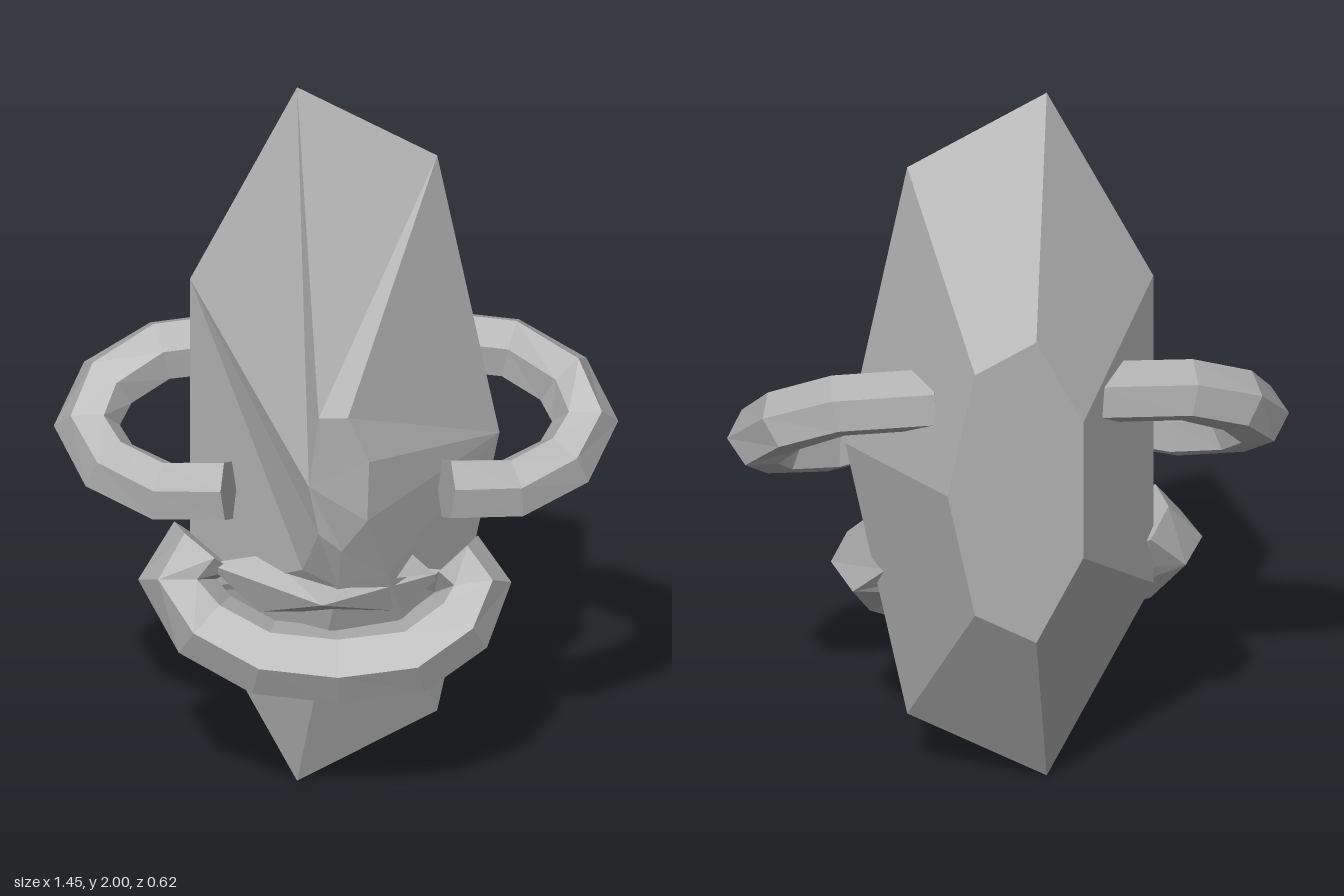
import * as THREE from 'three';

const stone = new THREE.MeshStandardMaterial({ color: 0xb0b0b0, flatShading: true });
stone.name = 'grey stone';

// Flat-shaded mesh from polygons, each fanned from its first corner
function facetMesh(name, polygons) {
  const pos = [];
  for (const p of polygons)
    for (let i = 1; i < p.length - 1; i++) pos.push(...p[0], ...p[i], ...p[i + 1]);
  const g = new THREE.BufferGeometry();
  g.setAttribute('position', new THREE.Float32BufferAttribute(pos, 3));
  g.computeVertexNormals();
  const mesh = new THREE.Mesh(g, stone);
  mesh.name = name;
  return mesh;
}

// Hexagonal bar swept along points that lie near a plane with the given normal
function hexBar(name, points, normal, radius) {
  const path = points.map(p => new THREE.Vector3(...p));
  const n = new THREE.Vector3(...normal).normalize();
  const rings = path.map((c, i) => {
    const before = path[Math.max(i - 1, 0)], after = path[Math.min(i + 1, path.length - 1)];
    const t = after.clone().sub(before).normalize();
    const u = n.clone().cross(t).normalize();
    const v = t.clone().cross(u);
    return Array.from({ length: 6 }, (_, j) => {
      const a = j * Math.PI / 3;
      return c.clone().addScaledVector(u, radius * Math.cos(a))
        .addScaledVector(v, radius * Math.sin(a)).toArray();
    });
  });
  const faces = [[...rings[0]].reverse(), rings[rings.length - 1]];
  for (let i = 0; i < rings.length - 1; i++)
    for (let j = 0; j < 6; j++) {
      const k = (j + 1) % 6;
      faces.push([rings[i][j], rings[i][k], rings[i + 1][k], rings[i + 1][j]]);
    }
  return facetMesh(name, faces);
}

// Seven-sided crystal head: rim, smaller back plate, and a front drawn out into a nose
function crystalHead() {
  const O = [[-0.1, 2, 0], [0.26, 1.8, 0], [0.42, 1, 0], [0.26, 0.2, 0],
    [-0.1, 0, 0], [-0.375, 0.55, 0], [-0.375, 1.45, 0]];
  const B = O.map(([x, y]) => [x * 0.44, 1 + (y - 1) * 0.44, -0.31]);
  const F = [[-0.05, 1.2, 0.305], [0.025, 1.2, 0.305], [0.08, 1.07, 0.3], [0.075, 0.9, 0.3],
    [0.01, 0.8, 0.275], [-0.05, 0.86, 0.295], [-0.075, 1, 0.3]];
  const N1 = [-0.09, 0.72, 0.22], N2 = [0, 0.68, 0.235], N3 = [0.13, 0.7, 0.215];
  const faces = [B, [...F].reverse()];
  for (let i = 0; i < 7; i++) {
    const k = (i + 1) % 7;
    faces.push([O[i], O[k], B[k], B[i]]);
  }
  faces.push(
    // brow and cheeks
    [O[1], O[0], F[0], F[1]], [O[2], O[1], F[1], F[2]], [O[0], O[6], F[6], F[0]],
    [O[3], O[2], N3], [O[2], F[2], F[3]], [O[2], F[3], N3],
    [O[6], O[5], N1], [O[6], N1, F[5]], [O[6], F[5], F[6]],
    // chin
    [O[4], O[3], N3, N2], [O[5], O[4], N2, N1],
    // underside of the nose
    [N3, F[3], F[4], N2], [N2, F[4], F[5], N1]);
  return facetMesh('crystalHead', faces);
}

// Wedge-shaped upper lip
function upperLip() {
  const left = [-0.335, 0.69, 0.12], right = [0.29, 0.665, 0.12], front = [-0.04, 0.65, 0.285];
  const backL = [-0.18, 0.72, 0.13], backR = [0.12, 0.695, 0.15];
  const lowL = [-0.2, 0.57, 0.16], lowR = [0.15, 0.57, 0.16];
  return facetMesh('upperLip', [
    [left, front, backL], [backL, front, backR], [backR, front, right],
    [left, lowL, front], [lowL, lowR, front], [lowR, right, front],
    [backL, backR, right, lowR, lowL, left]]);
}

// Small pointed shard at the mouth corner
function mouthShard() {
  const tip = [0.18, 0.745, 0.16];
  const a = [0.11, 0.68, 0.2], b = [0.25, 0.68, 0.17], c = [0.17, 0.68, 0.06];
  return facetMesh('mouthShard', [[a, b, tip], [b, c, tip], [c, a, tip], [a, c, b]]);
}

export function createModel() {
  const model = new THREE.Group();
  model.name = 'crystalFace';
  model.add(crystalHead(), upperLip(), mouthShard());

  // Curled ears, one on each side
  const ear = [[0.28, 0.94, 0.2], [0.45, 0.92, 0.16], [0.585, 0.96, 0.09], [0.64, 1.03, 0],
    [0.585, 1.115, -0.075], [0.45, 1.18, -0.125], [0.2, 1.2, -0.15]];
  for (const [name, s] of [['leftEar', 1], ['rightEar', -1]])
    model.add(hexBar(name, ear.map(([x, y, z]) => [x * s, y, z]), [0, 0.81, 0.59], 0.085));

  // Broad lower lip curved into a grin
  const grin = [[-0.34, 0.71, 0.06], [-0.41, 0.63, 0.09], [-0.34, 0.53, 0.15], [-0.19, 0.46, 0.2],
    [0, 0.44, 0.21], [0.19, 0.46, 0.2], [0.31, 0.53, 0.15], [0.35, 0.6, 0.09], [0.29, 0.66, 0.06]];
  model.add(hexBar('lowerLip', grin, [0, 0.61, 0.79], 0.1));
  return model;
}
